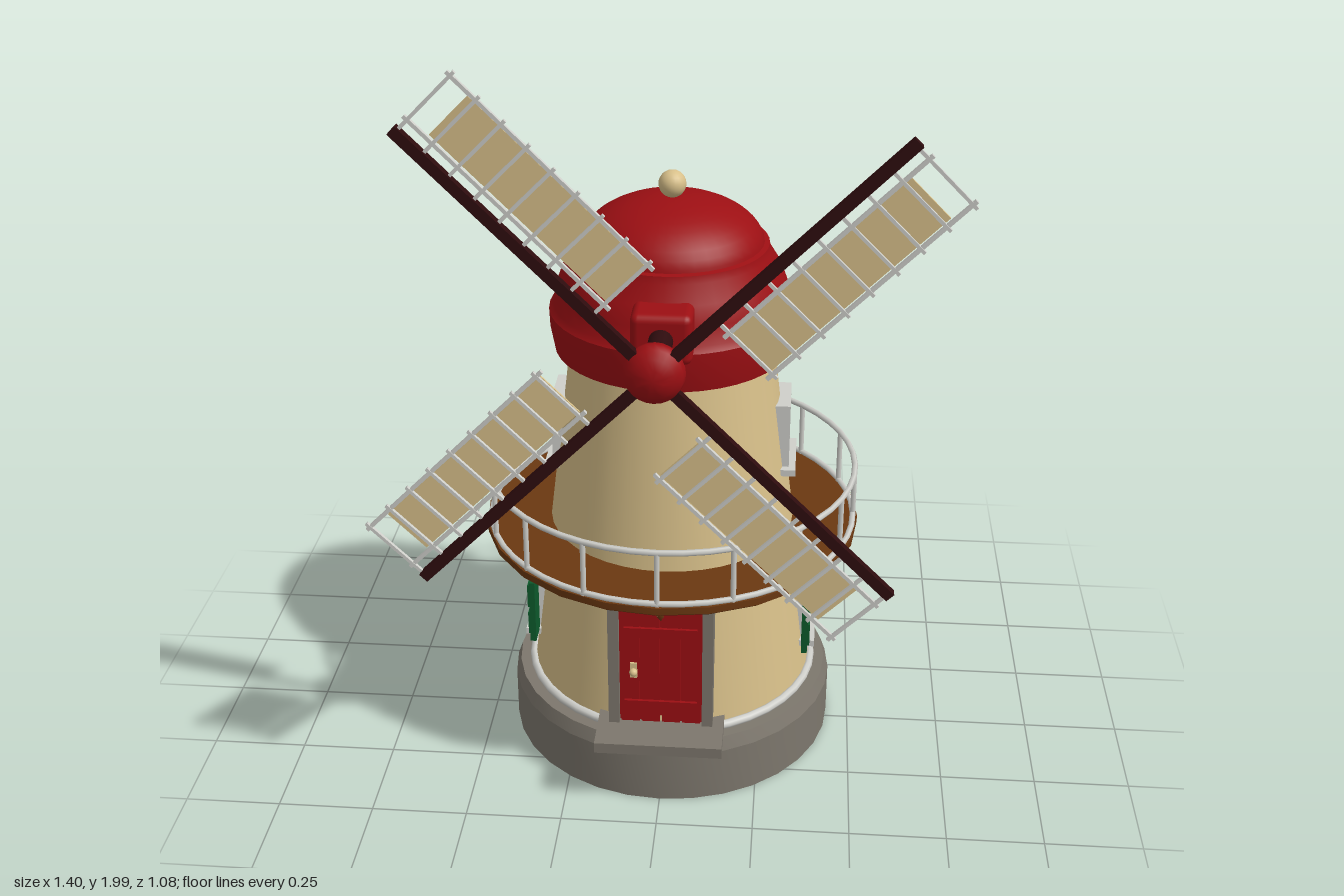
import * as THREE from 'three';
import { toCreasedNormals } from 'three/addons/utils/BufferGeometryUtils.js';
import { RoundedBoxGeometry } from 'three/addons/geometries/RoundedBoxGeometry.js';

const mat = (name, color) => Object.assign(new THREE.MeshStandardMaterial({ color }), { name });
const cream = mat('cream plaster', 0xd8c08a);
const red = mat('red paint', 0x9c0f13);
const white = mat('pale trim', 0xcfcfca);
const stone = mat('grey stone', 0x7d776d);
const wood = mat('brown wood', 0x6b3811);
const dark = mat('dark timber', 0x2e0c0e);
const green = mat('green paint', 0x0d5a2c);
const glass = mat('window glass', 0x5c5a55);

const AXIS_Z = -0.04;      // tower axis
const HUB_Y = 1.295;

function add(parent, name, geo, material, x = 0, y = 0, z = 0) {
  const m = new THREE.Mesh(geo, material);
  m.name = name;
  m.position.set(x, y, z);
  parent.add(m);
  return m;
}
const box = (p, name, m, w, h, d, x, y, z) => add(p, name, new THREE.BoxGeometry(w, h, d), m, x, y, z);

function lathe(p, name, m, pts, seg = 40, crease = 0.5) {
  const g = new THREE.LatheGeometry(pts.map(([r, y]) => new THREE.Vector2(r, y)), seg);
  return add(p, name, toCreasedNormals(g, crease), m);
}

// round or square bar between two points
function bar(p, name, m, a, b, r, sides = 8) {
  const A = new THREE.Vector3(...a), B = new THREE.Vector3(...b);
  const mesh = add(p, name, new THREE.CylinderGeometry(r, r, A.distanceTo(B), sides), m);
  mesh.position.copy(A).add(B).multiplyScalar(0.5);
  mesh.quaternion.setFromUnitVectors(new THREE.Vector3(0, 1, 0), B.sub(A).normalize());
  return mesh;
}

function group(p, name) {
  const g = new THREE.Group();
  g.name = name;
  p.add(g);
  return g;
}

// window facing local +z, its front at distance r from the axis
function makeWindow(p, name, y, r, w, h, shutters) {
  const g = group(p, name);
  g.position.set(0, y, r);
  const t = 0.018;
  for (const s of [-1, 1]) {
    box(g, 'windowJamb', white, t, h, 0.06, s * (w - t) / 2, 0, -0.03);
    box(g, 'windowRail', white, w, t, 0.06, 0, s * (h - t) / 2, -0.03);
  }
  box(g, 'windowPane', glass, w - 0.02, h - 0.02, 0.045, 0, 0, -0.034);
  box(g, 'mullion', white, 0.006, h - 0.02, 0.008, 0, 0, -0.009);
  for (const s of [-1, 1]) box(g, 'glazingBar', white, w - 0.02, 0.006, 0.008, 0, s * h / 6, -0.009);
  box(g, 'windowSill', white, w + 0.04, 0.018, 0.07, 0, -h / 2, -0.017);
  if (!shutters) return g;
  for (const s of [-1, 1]) {
    const sh = group(g, 'shutter');
    sh.position.set(s * (w / 2 + 0.04), 0.005, -0.01);
    box(sh, 'shutterBoard', green, 0.068, h, 0.016, 0, 0, 0);
    for (const k of [-1, 1]) box(sh, 'shutterPanel', green, 0.044, h * 0.36, 0.008, 0, k * h * 0.23, 0.01);
  }
  return g;
}

function makeTower(root) {
  const t = group(root, 'tower');
  t.position.z = AXIS_Z;
  lathe(t, 'stoneBase', stone, [[0, 0], [0.44, 0], [0.44, 0.142], [0.427, 0.178], [0, 0.18]], 32, 0.3);
  lathe(t, 'towerWall', cream, [[0.385, 0.17], [0.262, 1.16]]);
  const ring = add(t, 'baseMoulding', new THREE.TorusGeometry(0.388, 0.012, 8, 40), white, 0, 0.186, 0);
  ring.rotation.x = Math.PI / 2;

  // cap
  lathe(t, 'capSkirt', red, [[0.24, 1.135], [0.304, 1.135], [0.314, 1.19], [0.316, 1.24], [0.304, 1.255],
    [0.296, 1.3], [0.278, 1.35], [0.25, 1.395], [0.246, 1.415], [0.232, 1.418]], 40, 0.7);
  const dome = [];
  for (let i = 0; i <= 10; i++) {
    const a = i / 10 * Math.PI / 2;
    dome.push([0.235 * Math.cos(a), 1.405 + 0.128 * Math.sin(a)]);
  }
  lathe(t, 'capDome', red, dome, 40, 0.7);
  add(t, 'finial', new THREE.SphereGeometry(0.035, 20, 14), cream, 0, 1.565, 0);

  // windows on both sides and the back
  for (const a of [Math.PI / 2, Math.PI, -Math.PI / 2]) {
    makeWindow(t, 'lowerWindow', 0.375, 0.38, 0.158, 0.185, true).rotation.y = a;
    makeWindow(t, 'upperWindow', 0.9, 0.312, 0.145, 0.185, false).rotation.y = a;
  }
  // place each window outward along its facing direction
  for (const w of t.children.filter(c => c.name.endsWith('Window'))) {
    const r = w.position.z, a = w.rotation.y;
    w.position.x = r * Math.sin(a);
    w.position.z = r * Math.cos(a);
  }
}

function makeGallery(root) {
  const g = group(root, 'gallery');
  g.position.z = AXIS_Z;
  lathe(g, 'deck', wood, [[0.3, 0.61], [0.49, 0.61], [0.5, 0.618], [0.5, 0.637], [0.3, 0.637]], 24, 0.3);
  for (const y of [0.79, 0.643]) {
    const rail = add(g, 'handrail', new THREE.TorusGeometry(0.488, 0.008, 6, 48), white, 0, y, 0);
    rail.rotation.x = Math.PI / 2;
  }
  for (let i = 0; i < 16; i++) {
    const a = i * Math.PI / 8, s = Math.sin(a), c = Math.cos(a);
    bar(g, 'railPost', white, [0.488 * s, 0.635, 0.488 * c], [0.488 * s, 0.79, 0.488 * c], 0.007);
    if (i % 2 === 0)
      bar(g, 'deckBrace', wood, [0.33 * s, 0.495, 0.33 * c], [0.48 * s, 0.612, 0.48 * c], 0.01, 4);
  }
}

function makeDoor(root) {
  const d = group(root, 'entrance');
  box(d, 'doorStep', stone, 0.33, 0.03, 0.15, 0, 0.195, 0.375);
  for (const s of [-1, 1]) box(d, 'doorJamb', stone, 0.028, 0.39, 0.1, s * 0.122, 0.395, 0.307);
  box(d, 'doorLintel', white, 0.28, 0.02, 0.1, 0, 0.594, 0.308);
  box(d, 'doorBack', red, 0.22, 0.38, 0.08, 0, 0.396, 0.298);
  for (let i = 0; i < 4; i++)
    box(d, 'doorPlank', red, 0.048, 0.375, 0.008, (i - 1.5) * 0.053, 0.396, 0.341);
  for (const y of [0.265, 0.49]) box(d, 'doorBatten', red, 0.19, 0.028, 0.009, 0, y, 0.348);
  box(d, 'handlePlate', cream, 0.018, 0.045, 0.006, -0.07, 0.372, 0.347);
  add(d, 'doorKnob', new THREE.SphereGeometry(0.011, 12, 8), cream, -0.07, 0.372, 0.358);
}

function makeRotor(root) {
  add(root, 'shaftHousing', new RoundedBoxGeometry(0.15, 0.13, 0.16, 3, 0.02), red, 0, 1.293, 0.235);
  bar(root, 'windShaft', dark, [0, HUB_Y, 0.28], [0, HUB_Y, 0.47], 0.03, 16);
  const rotor = group(root, 'sailRotor');
  rotor.position.set(0, HUB_Y, 0.5);
  const hub = lathe(rotor, 'hub', red, [[0, -0.055], [0.045, -0.055], [0.066, -0.035], [0.073, -0.01],
    [0.068, 0.012], [0.05, 0.028], [0.026, 0.038], [0, 0.041]], 24, 0.8);
  hub.rotation.x = Math.PI / 2;

  // each sail lies clockwise of its spar
  for (let k = 0; k < 4; k++) {
    const s = group(rotor, 'sail');
    s.rotation.z = Math.PI / 4 + k * Math.PI / 2;
    box(s, 'spar', dark, 0.76, 0.026, 0.022, 0.42, 0, 0);
    box(s, 'sailCloth', cream, 0.54, 0.125, 0.006, 0.465, -0.112, -0.004);
    for (const v of [0.042, 0.182]) box(s, 'sailRail', white, 0.62, 0.009, 0.01, 0.492, -v, 0.002);
    for (let i = 0; i < 9; i++)
      box(s, 'sailRung', white, 0.008, 0.18, 0.009, 0.2 + i * 0.0738, -0.105, 0.004);
  }
}

export function createModel() {
  const root = new THREE.Group();
  root.name = 'windmill';
  makeTower(root);
  makeGallery(root);
  makeDoor(root);
  makeRotor(root);
  return root;
}
